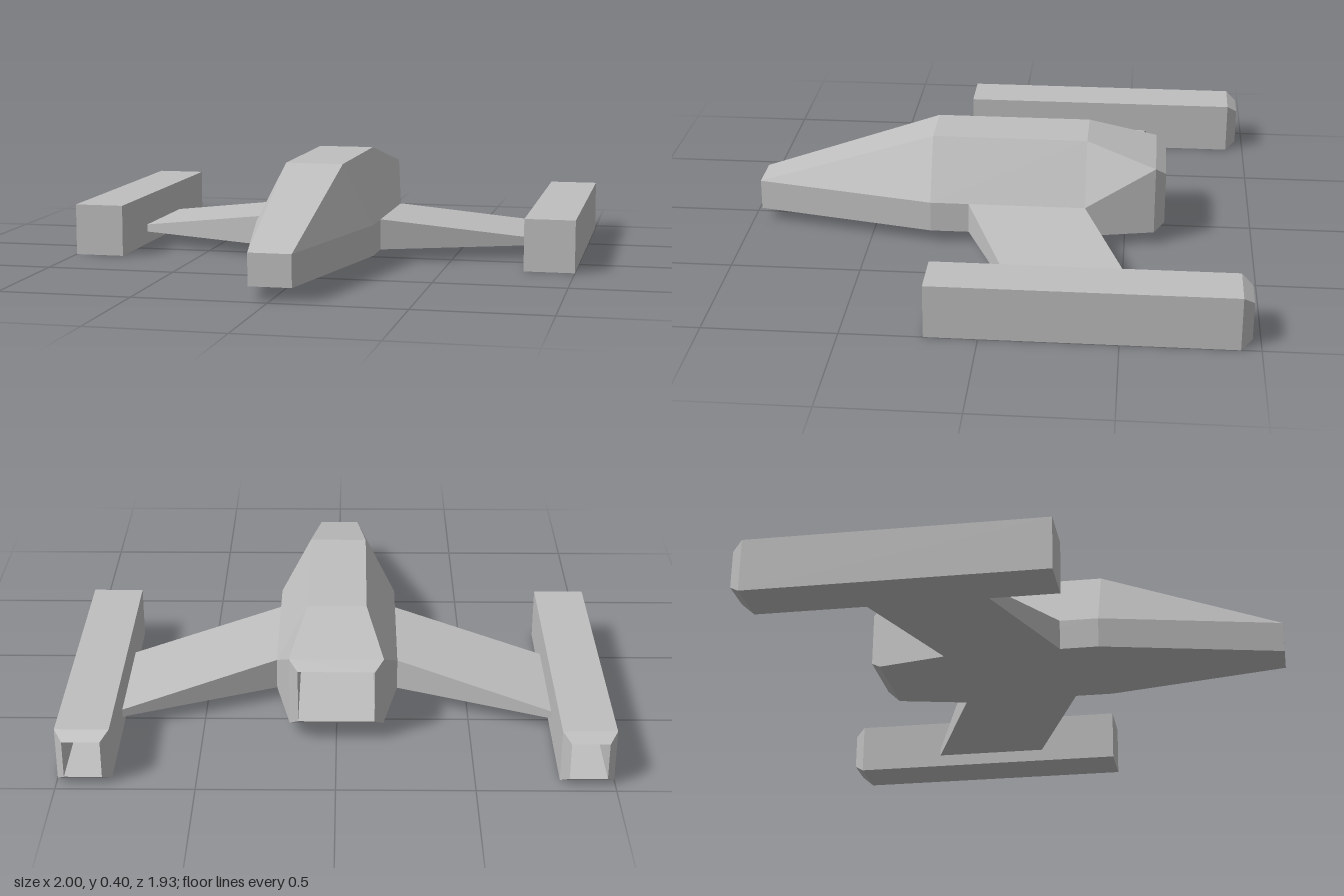
import * as THREE from 'three';

const hullGrey = new THREE.MeshStandardMaterial({ color: 0xbfbfbf });
hullGrey.name = 'hullGrey';

// Skins a row of cross-sections (counter-clockwise seen from the first end) and caps both ends, flat faceted
function loft(name, rings) {
  const pos = [];
  const tri = (a, b, c) => {
    const [A, B, C] = [a, b, c].map((p) => new THREE.Vector3(...p));
    if (B.clone().sub(A).cross(C.clone().sub(A)).length() > 1e-7) pos.push(...a, ...b, ...c);
  };
  const n = rings[0].length;
  for (let i = 0; i < rings.length - 1; i++) {
    for (let j = 0; j < n; j++) {
      const k = (j + 1) % n;
      const a = rings[i][j], b = rings[i][k], c = rings[i + 1][k], d = rings[i + 1][j];
      tri(a, d, c);
      tri(a, c, b);
    }
  }
  const first = rings[0], last = rings[rings.length - 1];
  for (let j = 1; j < n - 1; j++) {
    tri(first[0], first[j], first[j + 1]);
    tri(last[0], last[j + 1], last[j]);
  }
  const geo = new THREE.BufferGeometry();
  geo.setAttribute('position', new THREE.Float32BufferAttribute(pos, 3));
  geo.computeVertexNormals();
  const mesh = new THREE.Mesh(geo, hullGrey);
  mesh.name = name;
  return mesh;
}

// Six-sided hull section: floor, shoulder and roof corners on each side
const hullRing = (z, floorX, floorY, midX, midY, topX, topY) => [
  [-floorX, floorY, z], [floorX, floorY, z], [midX, midY, z],
  [topX, topY, z], [-topX, topY, z], [-midX, midY, z],
];

// Rectangular section across z
const boxRing = (z, x0, x1, y0, y1) => [[x0, y0, z], [x1, y0, z], [x1, y1, z], [x0, y1, z]];

// Wing section across x
const wingRing = (x, front, rear, y0, y1) => [[x, y0, front], [x, y0, rear], [x, y1, rear], [x, y1, front]];

export function createModel() {
  const model = new THREE.Group();
  model.name = 'spacecraft';

  // Fuselage from nose to bevelled tail, then back inside as the exhaust recess
  model.add(loft('fuselage', [
    hullRing(0.965, 0.08, 0.05, 0.08, 0.17, 0.08, 0.17),
    hullRing(0.26, 0.232, 0.05, 0.232, 0.17, 0.112, 0.403),
    hullRing(-0.345, 0.232, 0.05, 0.232, 0.17, 0.112, 0.403),
    hullRing(-0.615, 0.175, 0.05, 0.175, 0.32, 0.175, 0.32),
    hullRing(-0.655, 0.142, 0.08, 0.142, 0.288, 0.142, 0.288),
    hullRing(-0.2, 0.142, 0.08, 0.142, 0.288, 0.142, 0.288),
  ]));

  for (const s of [1, -1]) {
    const side = s > 0 ? 'left' : 'right';

    // Swept, tapering wing
    const wing = [
      wingRing(s * 0.805, -0.12, -0.575, 0.05, 0.08),
      wingRing(s * 0.232, 0.11, -0.345, 0.05, 0.17),
    ];
    model.add(loft(side + 'Wing', s > 0 ? wing : wing.reverse()));

    // Wingtip engine with bevelled, hollow exhaust
    const engine = loft(side + 'Engine', [
      boxRing(0.195, -0.0975, 0.0975, 0, 0.203),
      boxRing(-0.927, -0.0975, 0.0975, 0, 0.203),
      boxRing(-0.967, -0.068, 0.068, 0.03, 0.173),
      boxRing(-0.55, -0.068, 0.068, 0.03, 0.173),
    ]);
    engine.position.x = s * 0.9025;
    model.add(engine);
  }
  return model;
}
